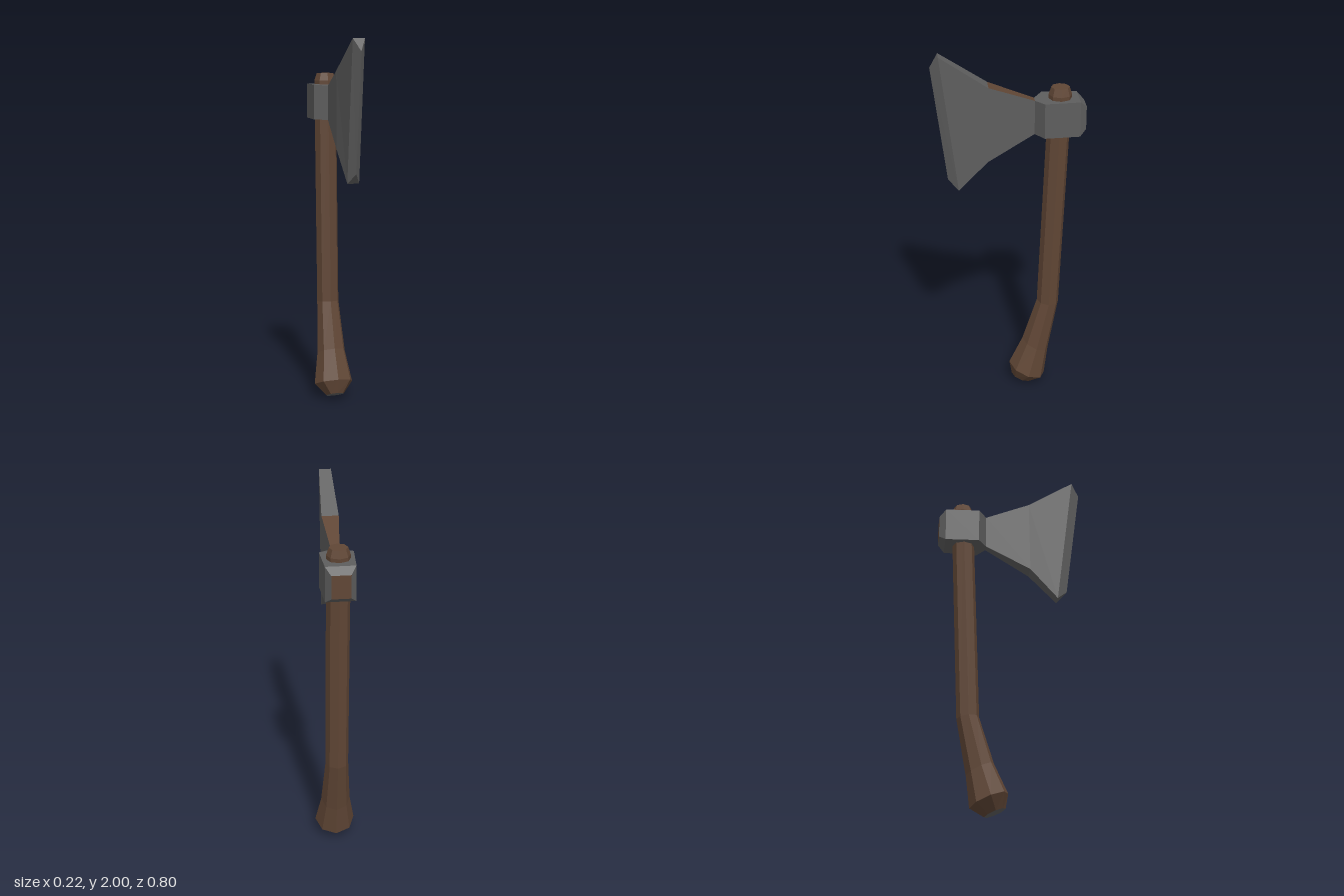
import * as THREE from 'three';

const wood = new THREE.MeshStandardMaterial({ name: 'brown wood', color: 0x604635, flatShading: true });
const steel = new THREE.MeshStandardMaterial({ name: 'grey steel', color: 0x5e5e5e, flatShading: true });

// Skins a row of equal-length loops; each loop runs counter-clockwise seen from the far end.
// pick(part, side) returns the material for a face; part is 'start', 'end' or the segment number.
function loft(name, loops, pick) {
  const faces = new Map([[wood, []], [steel, []]]);
  const tri = (a, b, c, material) => {
    if (new THREE.Triangle(a, b, c).getArea() > 1e-7) faces.get(material).push(a, b, c);
  };
  const n = loops[0].length;
  for (let s = 0; s < loops.length - 1; s++) {
    for (let i = 0; i < n; i++) {
      const j = (i + 1) % n, a = loops[s], b = loops[s + 1], m = pick(s, i);
      tri(a[i], a[j], b[j], m);
      tri(a[i], b[j], b[i], m);
    }
  }
  const first = loops[0], last = loops[loops.length - 1];
  for (let i = 1; i < n - 1; i++) {
    tri(first[0], first[i + 1], first[i], pick('start', 0));
    tri(last[0], last[i], last[i + 1], pick('end', 0));
  }
  const group = new THREE.Group();
  group.name = name;
  for (const [material, points] of faces) {
    if (!points.length) continue;
    const geometry = new THREE.BufferGeometry().setFromPoints(points);
    geometry.computeVertexNormals();
    const mesh = new THREE.Mesh(geometry, material);
    mesh.name = `${name} ${material === wood ? 'wood' : 'steel'}`;
    group.add(mesh);
  }
  return group;
}

// Tilted octagon around the handle: centre z and y, z radius, rise towards the front, x radius
const octagon = ([z, y, rz, rise, rx]) => Array.from({ length: 8 }, (_, i) => {
  const a = i * Math.PI / 4;
  return new THREE.Vector3(rx * Math.sin(a), y + rise * Math.cos(a), z + rz * Math.cos(a));
});

// Four-cornered section across z: half width, bottom y and z, top y and z
const section = ([w, y0, z0, y1, z1]) => [
  new THREE.Vector3(-w, y0, z0), new THREE.Vector3(w, y0, z0),
  new THREE.Vector3(w, y1, z1), new THREE.Vector3(-w, y1, z1),
];

export function createModel() {
  const axe = new THREE.Group();
  axe.name = 'axe';

  // Curved handle with a flared butt and a steel end face
  axe.add(loft('handle', [
    [-0.075, 0.028, 0.055, 0.024, 0.05],
    [-0.106, 0.09, 0.1, 0.042, 0.109],
    [-0.153, 0.255, 0.073, 0.035, 0.08],
    [-0.22, 0.535, 0.06, 0.007, 0.062],
    [-0.268, 1.77, 0.061, 0, 0.062],
    [-0.268, 1.81, 0.048, 0, 0.048],
  ].map(octagon), part => (part === 'start' ? steel : wood)));

  // Head block around the handle, with a chamfered poll
  axe.add(loft('head', [
    [0.05, 1.59, -0.4, 1.715, -0.4],
    [0.078, 1.56, -0.365, 1.75, -0.365],
    [0.088, 1.56, -0.18, 1.75, -0.18],
    [0.022, 1.56, -0.135, 1.745, -0.135],
  ].map(section), part => (part === 'start' ? wood : steel)));

  // Flared blade ending in a sharp edge; the upper neck face is brown
  axe.add(loft('blade', [
    [0.022, 1.56, -0.135, 1.745, -0.135],
    [0.045, 1.42, 0.112, 1.832, 0.105],
    [0.032, 1.255, 0.265, 2.0, 0.357],
    [0, 1.31, 0.32, 1.935, 0.4],
  ].map(section), (part, side) => (part === 0 && side === 2 ? wood : steel)));

  return axe;
}
